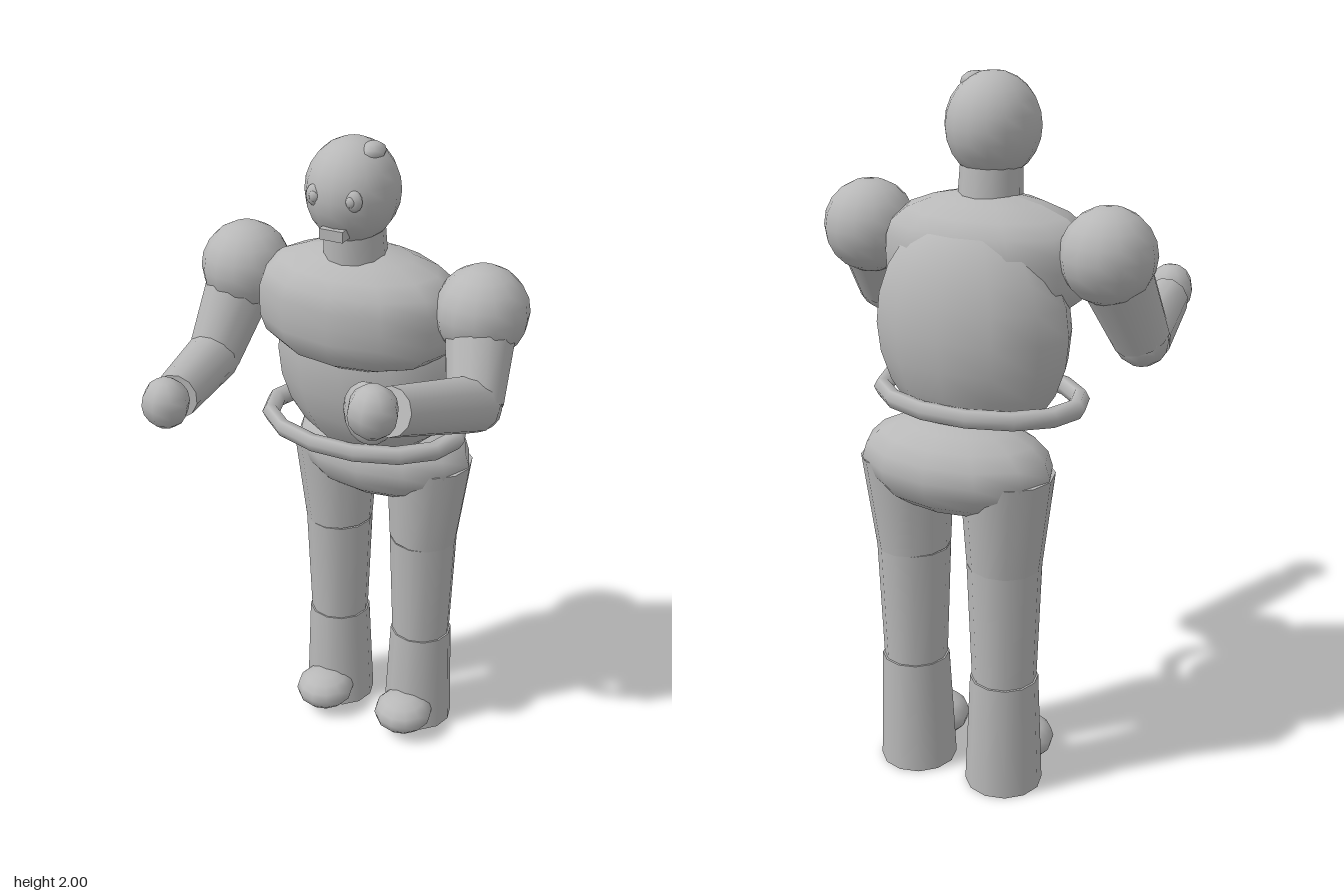
import * as THREE from 'three';

export function createModel() {
  const model = new THREE.Group();
  model.name = 'figure';
  const grey = new THREE.MeshStandardMaterial({ color: 0xb8b8b8 });
  grey.name = 'plain grey';

  const add = (name, geometry, position = [0, 0, 0]) => {
    const mesh = new THREE.Mesh(geometry, grey);
    mesh.name = name;
    mesh.position.set(...position);
    model.add(mesh);
    return mesh;
  };

  // Ellipsoid with its radii along x, y and z
  const ball = (name, position, radii, cols = 12, rows = 10) => {
    const geometry = new THREE.SphereGeometry(1, cols, rows);
    geometry.scale(...radii);
    return add(name, geometry, position);
  };

  // Tapered cylinder between two points
  const limb = (name, from, to, r0, r1) => {
    const a = new THREE.Vector3(...from);
    const b = new THREE.Vector3(...to);
    const axis = b.clone().sub(a);
    const mesh = add(name, new THREE.CylinderGeometry(r1, r0, axis.length(), 12));
    mesh.position.copy(a).lerp(b, 0.5);
    mesh.quaternion.setFromUnitVectors(new THREE.Vector3(0, 1, 0), axis.normalize());
    return mesh;
  };

  // Head and neck
  ball('head', [0, 1.855, -0.1], [0.13, 0.143, 0.137], 16, 12);
  ball('hairTuft', [0.056, 1.965, -0.1], [0.035, 0.028, 0.05], 8, 6);
  limb('neck', [0, 1.64, -0.12], [0, 1.75, -0.11], 0.09, 0.085);
  add('mouth', new THREE.BoxGeometry(0.07, 0.03, 0.04), [0, 1.767, 0.012]);
  for (const side of [-1, 1]) {
    ball('eye', [side * 0.056, 1.865, 0.012], [0.027, 0.03, 0.018], 10, 8);
    ball('pupil', [side * 0.054, 1.865, 0.026], [0.014, 0.015, 0.008], 8, 6);
  }

  // Chest, squared off a little towards top and bottom
  const chest = new THREE.SphereGeometry(1, 12, 12);
  const p = chest.attributes.position;
  for (let i = 0; i < p.count; i++) {
    const y = p.getY(i);
    const widen = 1 + 0.45 * y * y * (1 - y * y);
    p.setXYZ(i, p.getX(i) * 0.303 * widen, y * 0.178, p.getZ(i) * 0.2 * widen);
  }
  chest.computeVertexNormals();
  add('chest', chest, [0, 1.508, -0.137]);

  // Abdomen, stomach bump, waist ring and hips
  ball('abdomen', [0, 1.33, -0.215], [0.288, 0.325, 0.195], 12, 12);
  ball('stomachBump', [0.1, 1.247, -0.003], [0.08, 0.098, 0.038], 10, 8);
  const ring = new THREE.TorusGeometry(0.293, 0.028, 6, 14);
  ring.rotateX(Math.PI / 2);
  ring.scale(1, 1, 0.7);
  add('waistRing', ring, [0, 1.125, -0.18]);
  ball('hips', [0, 0.968, -0.315], [0.286, 0.138, 0.185], 12, 10);

  // Legs and feet
  for (const side of [-1, 1]) {
    const z = -0.315;
    limb('thigh', [side * 0.146, 0.69, z + 0.003], [side * 0.157, 0.967, z], 0.105, 0.131);
    limb('shin', [side * 0.146, 0.34, z], [side * 0.146, 0.69, z + 0.003], 0.092, 0.105);
    limb('boot', [side * 0.143, 0, z], [side * 0.146, 0.34, z], 0.111, 0.097);
    ball('foot', [side * 0.143, 0.074, -0.2], [0.093, 0.063, 0.095], 12, 8);
  }

  // Arms, each bent differently
  const arms = [
    { side: 1, elbow: [0.412, 1.345, -0.015], wrist: [0.337, 1.48, 0.367], hand: [0.322, 1.507, 0.433] },
    { side: -1, elbow: [-0.418, 1.305, -0.035], wrist: [-0.354, 1.322, 0.28], hand: [-0.34, 1.338, 0.347] },
  ];
  for (const { side, elbow, wrist, hand } of arms) {
    const shoulder = [side * 0.366, 1.553, -0.15];
    ball('shoulder', shoulder, [0.131, 0.131, 0.132], 14, 10);
    limb('upperArm', shoulder, elbow, 0.105, 0.079);
    ball('elbow', elbow, [0.078, 0.078, 0.078], 10, 8);
    limb('forearm', elbow, wrist, 0.079, 0.065);
    ball('hand', hand, [0.067, 0.072, 0.067], 8, 8);
  }
  return model;
}
